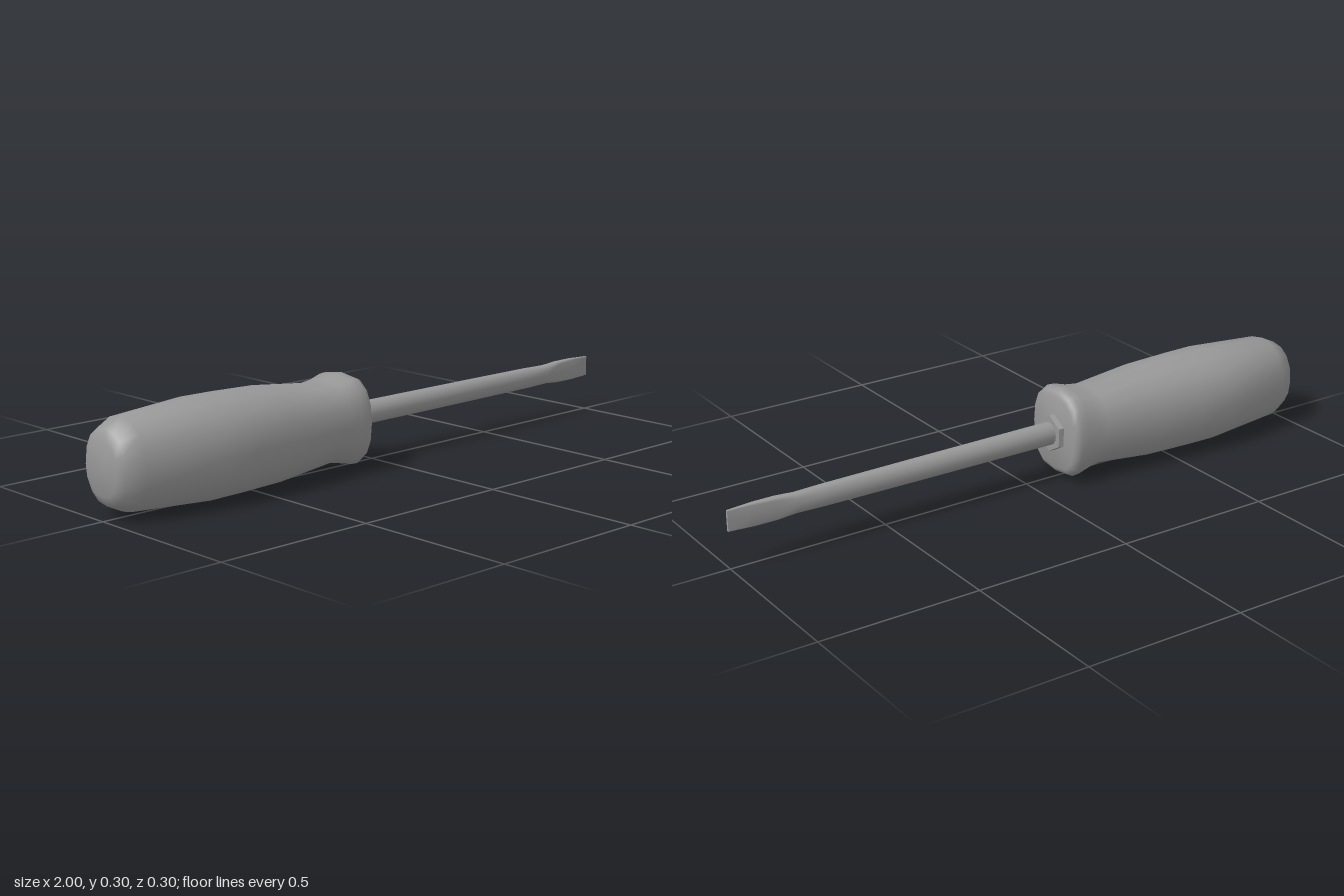
import * as THREE from 'three';
import { toCreasedNormals } from 'three/addons/utils/BufferGeometryUtils.js';

const SIDES = 16;
const AXIS_Y = 0.149;

const bend = (v, p) => Math.sign(v) * Math.pow(Math.abs(v) < 1e-6 ? 0 : Math.abs(v), p);

// Closed loft along x. Station: [x, half height, half depth, y power, z power];
// power 1 is a round section, smaller powers are squarer.
function loft(stations, crease) {
  const pos = [], index = [], n = stations.length;
  for (const [x, hy, hz, py, pz] of stations) {
    for (let j = 0; j < SIDES; j++) {
      const a = (j / SIDES) * Math.PI * 2;
      pos.push(x, hy * bend(Math.sin(a), py), hz * bend(Math.cos(a), pz));
    }
  }
  const first = n * SIDES, last = first + 1;
  pos.push(stations[0][0], 0, 0, stations[n - 1][0], 0, 0);
  for (let j = 0; j < SIDES; j++) {
    const k = (j + 1) % SIDES;
    for (let i = 0; i < n - 1; i++) {
      const a = i * SIDES + j, b = a + SIDES, c = (i + 1) * SIDES + k, d = i * SIDES + k;
      index.push(a, b, c, a, c, d);
    }
    index.push(first, j, k, last, (n - 1) * SIDES + k, (n - 1) * SIDES + j);
  }
  const g = new THREE.BufferGeometry();
  g.setAttribute('position', new THREE.Float32BufferAttribute(pos, 3));
  g.setIndex(index);
  return toCreasedNormals(g, crease);
}

export function createModel() {
  const group = new THREE.Group();
  const material = new THREE.MeshStandardMaterial({ color: 0x989898 });
  const add = (name, geometry) => {
    const mesh = new THREE.Mesh(geometry, material);
    mesh.name = name;
    mesh.position.y = AXIS_Y;
    group.add(mesh);
    return mesh;
  };

  // Swelling grip with a narrow neck and a flared, flat-sided front lip
  add('handle', loft([
    [-1.0, 0.08, 0.07, 0.9, 0.9],
    [-0.985, 0.108, 0.09, 0.9, 0.9],
    [-0.933, 0.133, 0.113, 0.9, 0.9],
    [-0.68, 0.148, 0.15, 0.9, 0.9],
    [-0.57, 0.147, 0.147, 0.9, 0.9],
    [-0.42, 0.142, 0.14, 0.9, 0.85],
    [-0.23, 0.119, 0.121, 0.9, 0.7],
    [-0.19, 0.124, 0.12, 0.9, 0.65],
    [-0.15, 0.136, 0.12, 0.9, 0.6],
    [-0.125, 0.138, 0.12, 0.9, 0.6],
    [-0.11, 0.13, 0.116, 0.9, 0.6],
    [-0.102, 0.115, 0.104, 0.9, 0.6],
  ], 0.9));

  // Hexagonal bolster, corners up and down
  const hex = new THREE.CylinderGeometry(0.058, 0.061, 0.022, 6).toNonIndexed();
  hex.rotateY(Math.PI / 2).rotateZ(-Math.PI / 2);
  hex.computeVertexNormals();
  add('bolster', hex).position.x = -0.096;

  // Round shaft flattening into a wedge-shaped blade
  add('shaftAndBlade', loft([
    [-0.11, 0.036, 0.035, 1, 1],
    [0.4, 0.035, 0.03, 1, 1],
    [0.7, 0.034, 0.025, 1, 1],
    [0.79, 0.031, 0.02, 0.7, 0.8],
    [0.85, 0.035, 0.014, 0.3, 0.5],
    [0.92, 0.035, 0.009, 0.12, 0.25],
    [1.0, 0.032, 0.004, 0.08, 0.15],
  ], 0.7));

  return group;
}
